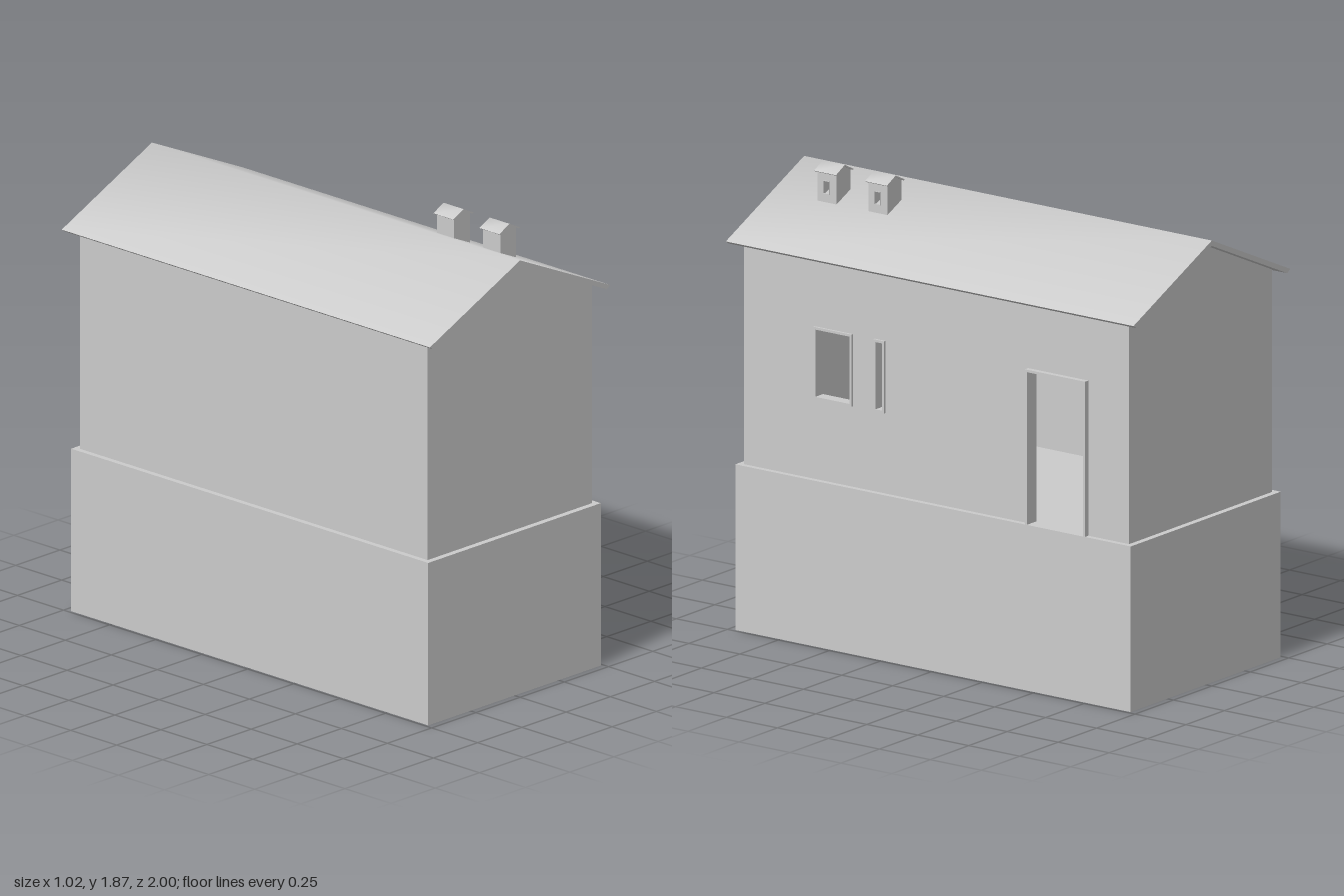
import * as THREE from 'three';
import { toCreasedNormals } from 'three/addons/utils/BufferGeometryUtils.js';

const material = new THREE.MeshStandardMaterial({ color: 0xcccccc, side: THREE.DoubleSide });

function add(group, name, geometry) {
  const mesh = new THREE.Mesh(geometry, material);
  mesh.name = name;
  group.add(mesh);
  return mesh;
}

const outline = (points) => new THREE.Shape(points.map(([x, y]) => new THREE.Vector2(x, y)));
const rect = (a, b, y0, y1) => outline([[a, y0], [b, y0], [b, y1], [a, y1]]);
const extrude = (shape, depth) => new THREE.ExtrudeGeometry(shape, { depth, bevelEnabled: false });

// Panel drawn in (z, y), its outer face at x, thickness running towards -x
const sidePanel = (shape, x, depth) => extrude(shape, depth).rotateY(-Math.PI / 2).translate(x, 0, 0);

// Hollow gabled walls with framed openings in the +x side
function gabledWalls(group, { w, d, y0, eave, ridge, t, openings, trim }) {
  const gable = outline([[-w, y0], [w, y0], [w, eave], [0, ridge], [-w, eave]]);
  add(group, 'frontGableWall', extrude(gable, t).translate(0, 0, d - t));
  add(group, 'backGableWall', extrude(gable, t).translate(0, 0, -d));

  const inner = d - t;
  add(group, 'rightSideWall', sidePanel(rect(-inner, inner, y0, eave), -w + t, t));
  const wall = rect(-inner, inner, y0, eave);
  for (const o of openings) {
    wall.holes.push(rect(o.z0, o.z1, o.y0, o.y1));
    const frame = rect(o.z0 - trim, o.z1 + trim, o.y0 - trim, o.y1 + trim);
    frame.holes.push(rect(o.z0, o.z1, o.y0, o.y1));
    add(group, o.name, sidePanel(frame, w + o.out, o.out + t * 0.5));
  }
  add(group, 'leftSideWall', sidePanel(wall, w, t));
}

// Thin folded roof, shaded softly across the ridge
function gabledRoof(group, name, { w, d, ridge, eave, thick, cut }) {
  const slope = (ridge - eave) / w;
  const low = ridge - thick;
  const e = w - cut;
  const shape = outline([
    [w, eave], [0, ridge], [-w, eave],
    [-e, low - e * slope], [0, low], [e, low - e * slope],
  ]);
  const geometry = extrude(shape, 2 * d).translate(0, 0, -d);
  add(group, name, toCreasedNormals(geometry, Math.PI / 3));
}

export function createModel() {
  const model = new THREE.Group();
  model.name = 'house';

  // Plinth
  add(model, 'base', new THREE.BoxGeometry(0.976, 0.675, 1.94).translate(0, 0.3375, 0));

  // Main storey, its walls sunk slightly into the plinth
  const storey = new THREE.Group();
  storey.name = 'mainStorey';
  model.add(storey);
  gabledWalls(storey, {
    w: 0.465, d: 0.945, y0: 0.66, eave: 1.59, ridge: 1.803, t: 0.04, trim: 0.01,
    openings: [
      { name: 'wideWindowFrame', z0: 0.42, z1: 0.587, y0: 1.013, y1: 1.287, out: 0.01 },
      { name: 'narrowWindowFrame', z0: 0.26, z1: 0.292, y0: 1.013, y1: 1.287, out: 0.01 },
      { name: 'doorFrame', z0: -0.735, z1: -0.46, y0: 0.675, y1: 1.297, out: 0.022 },
    ],
  });
  gabledRoof(model, 'roof', { w: 0.51, d: 1, ridge: 1.815, eave: 1.583, thick: 0.022, cut: 0.02 });

  // Two small gabled chimneys on the left slope
  for (const z of [0.73, 0.48]) {
    const chimney = new THREE.Group();
    chimney.name = 'chimney';
    chimney.position.set(0.165, 0, z);
    model.add(chimney);
    gabledWalls(chimney, {
      w: 0.045, d: 0.047, y0: 1.716, eave: 1.846, ridge: 1.868, t: 0.005, trim: 0.002,
      openings: [{ name: 'chimneyVent', z0: -0.013, z1: 0.013, y0: 1.756, y1: 1.806, out: 0.004 }],
    });
    gabledRoof(chimney, 'chimneyCap', { w: 0.058, d: 0.054, ridge: 1.872, eave: 1.843, thick: 0.006, cut: 0.005 });
  }
  return model;
}
